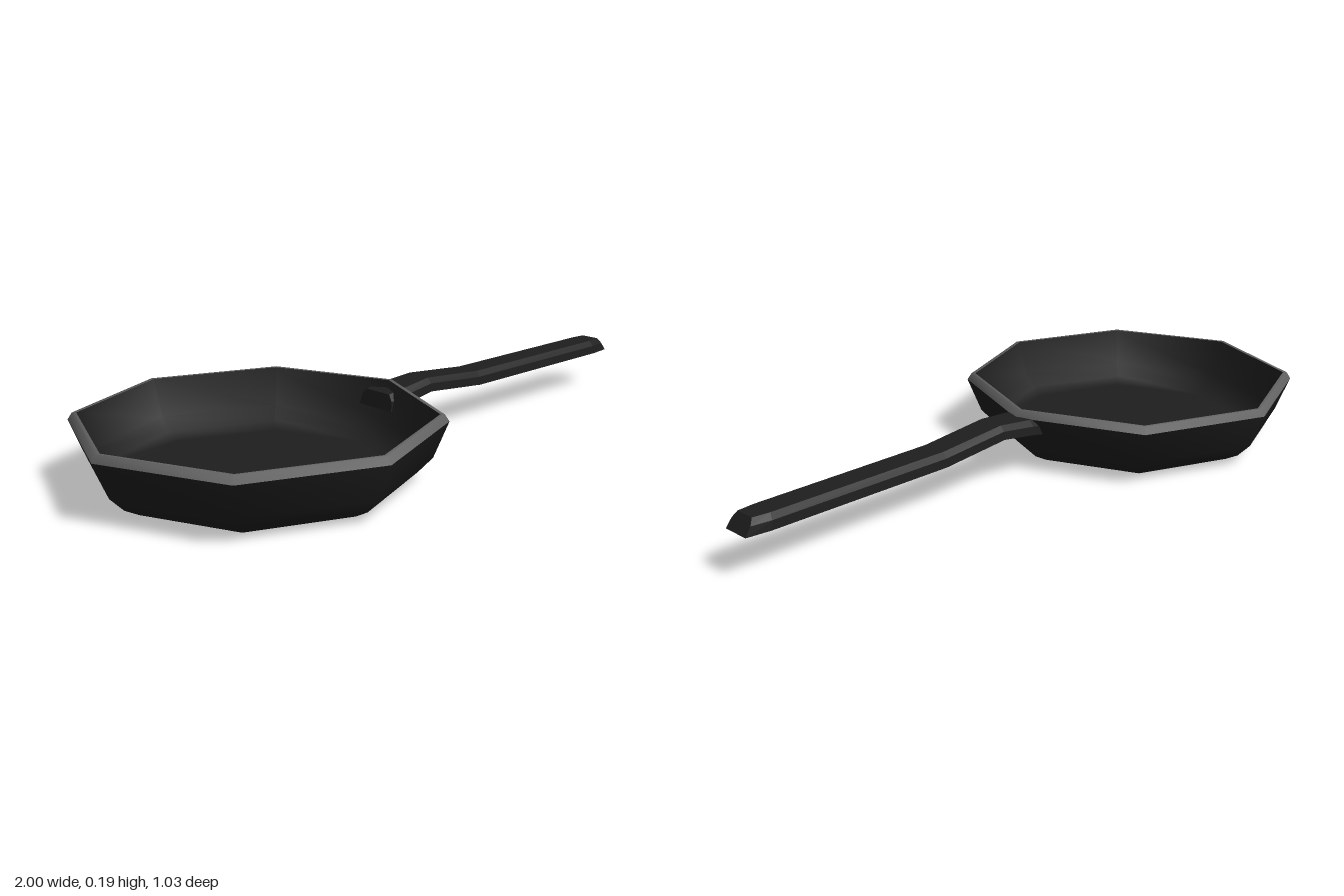
import * as THREE from 'three';

const iron = new THREE.MeshStandardMaterial({ color: 0x1e1e1e });
iron.name = 'black iron';
const steel = new THREE.MeshStandardMaterial({ color: 0x606060 });
steel.name = 'worn grey rim';

// Eight-sided turned part of the pan, from [radius, height] points
function turned(name, points, material) {
  const geo = new THREE.LatheGeometry(points.map(([r, y]) => new THREE.Vector2(r, y)), 8);
  const mesh = new THREE.Mesh(geo, material);
  mesh.name = name;
  mesh.position.x = -0.485;
  return mesh;
}

// Handle lofted from chamfered cross-sections along x
function handleGeometry() {
  // x at bottom, x at top, bottom y, top y, half width
  const sections = [
    [-0.05, -0.04, 0.115, 0.162, 0.066],
    [0.02, 0.02, 0.128, 0.17, 0.065],
    [0.13, 0.13, 0.14, 0.18, 0.055],
    [0.35, 0.35, 0.118, 0.16, 0.052],
    [0.93, 0.92, 0.118, 0.16, 0.05],
    [1.0, 0.97, 0.118, 0.16, 0.042],
  ];
  // [across, up] corners, anticlockwise seen from +x
  const outline = [[1, 0], [0.95, 0.6], [0.72, 1], [-0.72, 1], [-0.95, 0.6], [-1, 0]];
  const rings = sections.map(([xb, xt, yb, yt, w]) => outline.map(([u, v]) =>
    [xb + (xt - xb) * v, yb + (yt - yb) * v, u * w]));
  const pos = [];
  const tri = (a, b, c) => pos.push(...a, ...b, ...c);
  const n = outline.length;
  for (let i = 0; i < rings.length - 1; i++) {
    for (let j = 0; j < n; j++) {
      const k = (j + 1) % n;
      const a = rings[i][j], b = rings[i + 1][j], c = rings[i + 1][k], d = rings[i][k];
      tri(a, b, c);
      tri(a, c, d);
    }
  }
  // End caps
  const first = rings[0], last = rings[rings.length - 1];
  for (let j = 1; j < n - 1; j++) {
    tri(first[0], first[j], first[j + 1]);
    tri(last[0], last[j + 1], last[j]);
  }
  // Turn every face outward
  for (let i = 0; i < pos.length; i += 9) {
    const p = [0, 3, 6].map((o) => new THREE.Vector3(...pos.slice(i + o, i + o + 3)));
    const normal = p[1].clone().sub(p[0]).cross(p[2].clone().sub(p[0]));
    const mid = p[0].clone().add(p[1]).add(p[2]).divideScalar(3);
    const s = Math.min(sections.length - 2, Math.max(0, sections.findIndex((q) => q[0] > mid.x) - 1));
    const q = sections[s], r = sections[s + 1];
    const core = new THREE.Vector3((q[0] + r[0]) / 2, (q[2] + q[3] + r[2] + r[3]) / 4, 0);
    if (normal.dot(mid.sub(core)) < 0) {
      pos.splice(i + 3, 6, ...p[2].toArray(), ...p[1].toArray());
    }
  }
  const geo = new THREE.BufferGeometry();
  geo.setAttribute('position', new THREE.Float32BufferAttribute(pos, 3));
  geo.computeVertexNormals();
  return geo;
}

export function createModel() {
  const model = new THREE.Group();
  model.name = 'fryingPan';

  // Bowl outside, rim and inside
  model.add(turned('panOutside',
    [[0, 0], [0.387, 0], [0.43, 0.023], [0.472, 0.065], [0.515, 0.168]], iron));
  model.add(turned('panRim', [[0.515, 0.168], [0.502, 0.188], [0.49, 0.188]], steel));
  model.add(turned('panInside',
    [[0.49, 0.188], [0.455, 0.08], [0.42, 0.043], [0.38, 0.022], [0, 0.022]], iron));

  // Long handle, its root passing through the wall
  const handle = new THREE.Mesh(handleGeometry(), iron);
  handle.name = 'handle';
  model.add(handle);
  return model;
}
